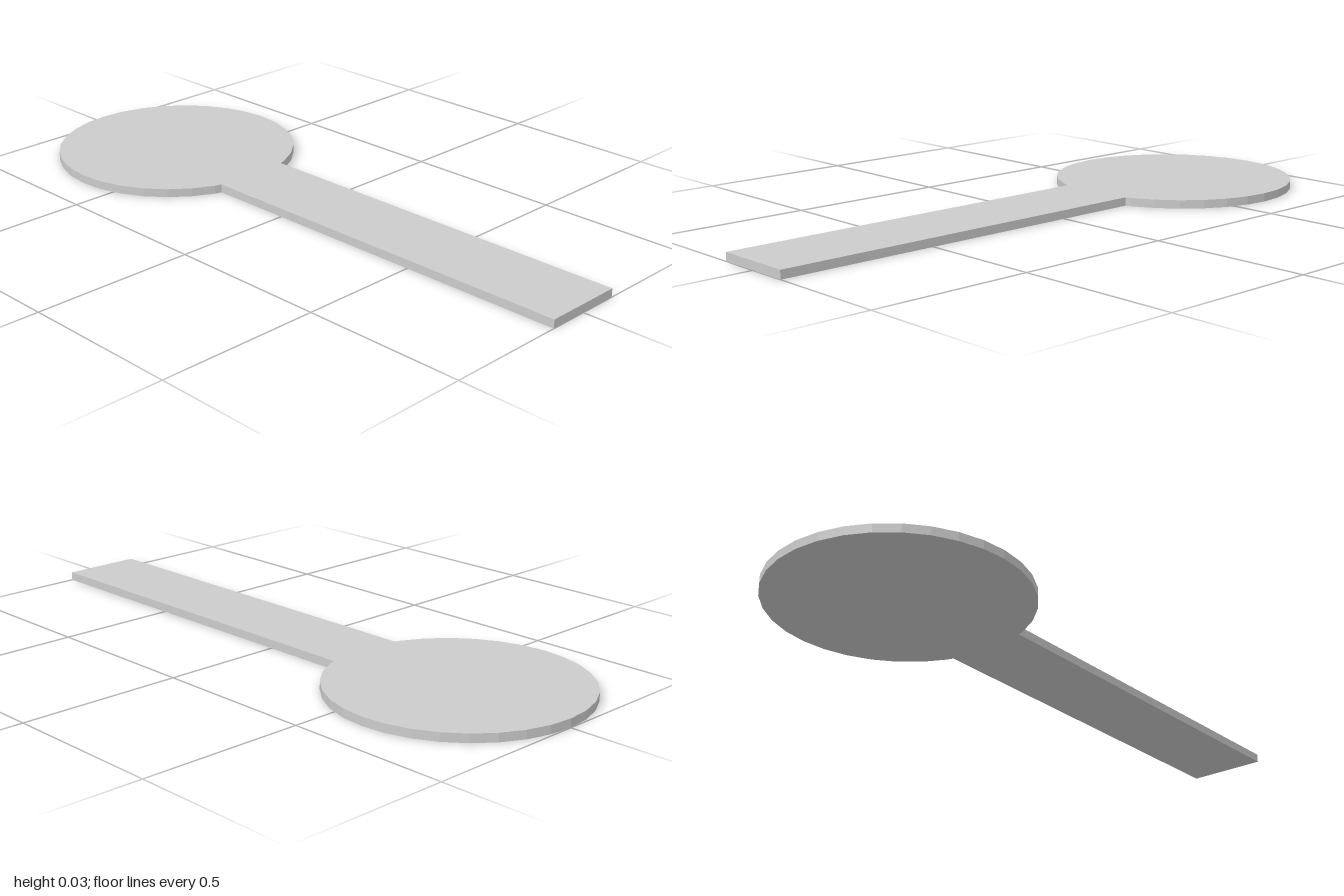
import * as THREE from 'three';

export function createModel() {
  const group = new THREE.Group();
  group.name = 'paddle';

  const thickness = 0.026;
  const radius = 0.38;
  const centre = 1 - radius; // disc centre, towards the back
  const halfWidth = 0.126;
  const neck = 0.263; // where the handle meets the disc
  const sides = 32;

  // Outline: straight handle, then round the faceted disc
  const outline = [
    new THREE.Vector2(-halfWidth, -1),
    new THREE.Vector2(halfWidth, -1),
    new THREE.Vector2(halfWidth, neck),
  ];
  for (let i = 2; i <= sides - 2; i++) {
    const a = (i / sides) * Math.PI * 2;
    outline.push(new THREE.Vector2(radius * Math.sin(a), centre - radius * Math.cos(a)));
  }
  outline.push(new THREE.Vector2(-halfWidth, neck));

  // Flat plate lying on the ground
  const geometry = new THREE.ExtrudeGeometry(new THREE.Shape(outline), {
    depth: thickness,
    bevelEnabled: false,
  });
  geometry.rotateX(-Math.PI / 2);

  const plate = new THREE.Mesh(
    geometry,
    new THREE.MeshStandardMaterial({ color: 0xcccccc, flatShading: true })
  );
  plate.name = 'discAndHandle';
  group.add(plate);
  return group;
}
